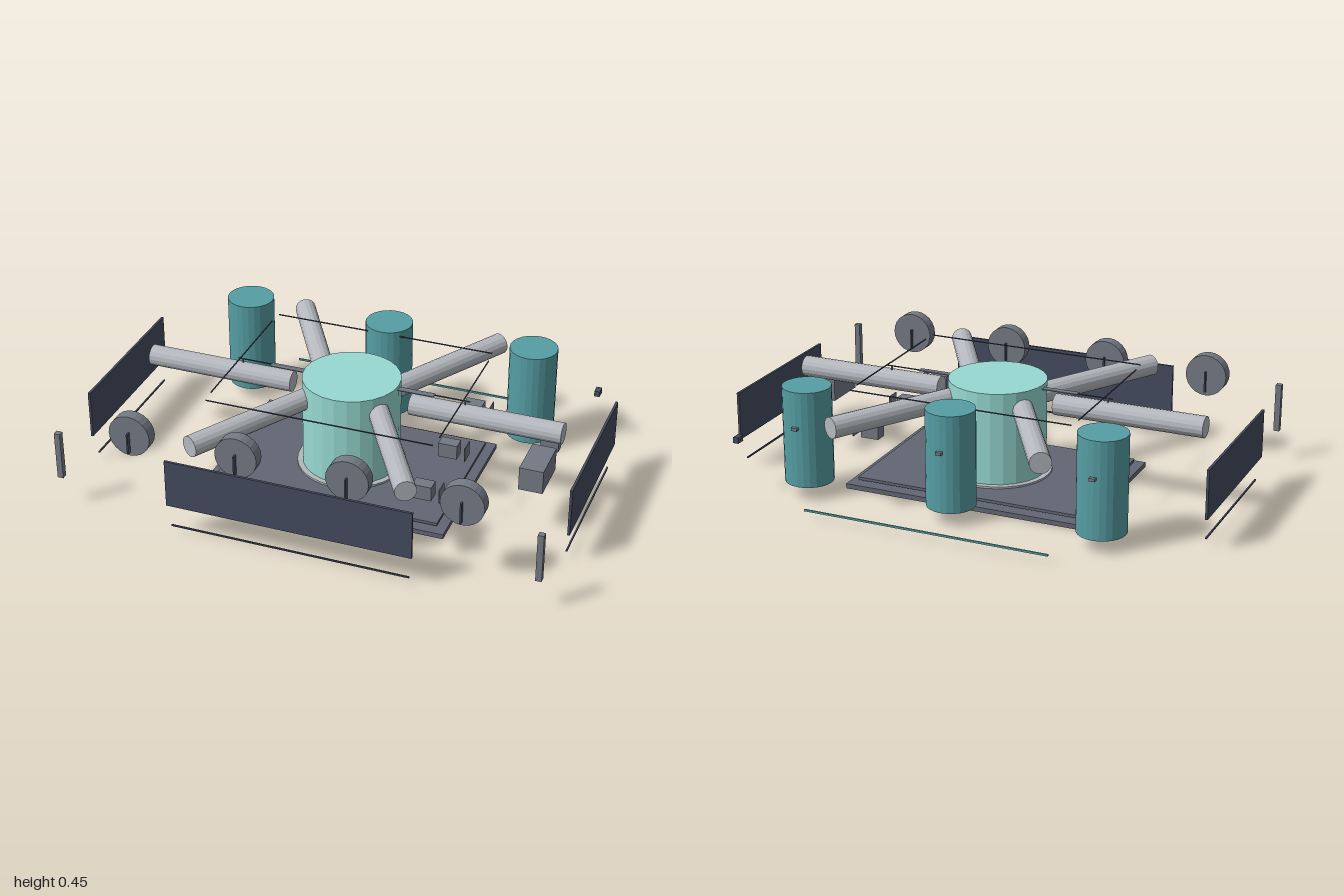
import * as THREE from 'three';

const mat = (color) => new THREE.MeshStandardMaterial({ color, flatShading: true });

export function createModel() {
  const root = new THREE.Group();
  const mint = mat(0x97d9d2), teal = mat(0x559ea4), grey = mat(0xb4b8be);
  const slate = mat(0x626673), steel = mat(0x737a84), navy = mat(0x434b5e);

  const add = (name, geo, material, x, y, z) => {
    const m = new THREE.Mesh(geo, material);
    m.name = name;
    m.position.set(x, y, z);
    root.add(m);
    return m;
  };
  // Box given by its extents on each axis
  const box = (name, material, x0, x1, y0, y1, z0, z1) =>
    add(name, new THREE.BoxGeometry(x1 - x0, y1 - y0, z1 - z0), material,
      (x0 + x1) / 2, (y0 + y1) / 2, (z0 + z1) / 2);
  // Upright cylinder given by its bottom and top
  const drum = (name, material, r, y0, y1, x, z, sides = 24) =>
    add(name, new THREE.CylinderGeometry(r, r, y1 - y0, sides), material, x, (y0 + y1) / 2, z);

  // Base and hub
  box('basePlate', slate, -0.507, 0.507, 0, 0.02, -0.35, 0.35);
  box('innerPlate', slate, -0.47, 0.47, 0.03, 0.042, -0.315, 0.315);
  drum('hubFlange', grey, 0.22, 0.035, 0.05, 0, 0, 32);
  drum('hub', mint, 0.198, 0.05, 0.43, 0, 0, 24);

  // Six spokes, set on a flattened ring
  for (let i = 0; i < 6; i++) {
    const a = (i * Math.PI) / 3;
    const spoke = add('spoke', new THREE.CylinderGeometry(0.043, 0.043, 0.62, 16), grey,
      0.56 * Math.cos(a), 0.355, 0.375 * Math.sin(a));
    spoke.quaternion.setFromUnitVectors(new THREE.Vector3(0, 1, 0),
      new THREE.Vector3(Math.cos(a), 0, Math.sin(a)));
  }

  // Rear tanks with small valves
  for (const x of [-0.62, 0, 0.62]) {
    drum('tank', teal, 0.098, 0.057, 0.452, x, -0.44);
    box('tankValve', steel, x - 0.012, x + 0.012, 0.298, 0.31, -0.553, -0.53);
  }

  // Front dials with pointers
  for (const x of [-0.683, -0.239, 0.21, 0.658]) {
    const dial = add('dial', new THREE.CylinderGeometry(0.086, 0.086, 0.05, 24), steel, x, 0.355, 0.583);
    dial.rotation.x = Math.PI / 2;
    box('dialPointer', navy, x - 0.003, x + 0.003, 0.285, 0.372, 0.545, 0.628);
  }

  // Panels and the rails beneath them
  box('frontPanel', navy, -0.5, 0.495, 0.13, 0.33, 0.678, 0.688);
  box('frontRail', navy, -0.485, 0.485, 0.036, 0.042, 0.678, 0.684);
  box('rearRail', teal, -0.507, 0.507, 0.035, 0.043, -0.69, -0.684);
  for (const s of [-1, 1]) {
    const x = s * 0.995;
    box('sidePanel', navy, x - 0.005, x + 0.005, 0.13, 0.33, -0.345, 0.338);
    box('sideRail', navy, s * 0.985 - 0.003, s * 0.985 + 0.003, 0.036, 0.042, -0.31, 0.31);
    box('cornerPost', steel, s * 0.97 - 0.012, s * 0.97 + 0.012, 0.13, 0.33, 0.634, 0.658);
    // Upper wires around the hub and clips on the side spokes
    box('longWire', navy, -0.465, 0.465, 0.428, 0.432, s * 0.372 - 0.002, s * 0.372 + 0.002);
    box('crossWire', navy, s * 0.47 - 0.002, s * 0.47 + 0.002, 0.428, 0.432, -0.31, 0.31);
    box('spokeWire', navy, s * 0.34 - 0.15, s * 0.34 + 0.15, 0.411, 0.415, -0.007, -0.003);
    box('spokeClip', steel, s * 0.27 - 0.075, s * 0.27 + 0.075, 0.411, 0.415, -0.015, 0.012);
    box('spokeClipPost', steel, s * 0.47 - 0.003, s * 0.47 + 0.003, 0.39, 0.414, -0.008, -0.002);
  }

  // Row of small blocks with end plates
  for (const z of [-0.255, 0.065, 0.377]) {
    box('block', steel, 0.395, 0.472, 0.2, 0.26, z - 0.026, z + 0.026);
    box('blockPlate', steel, 0.503, 0.507, 0.2, 0.26, z - 0.03, z + 0.03);
  }

  // Side box, its cap and a small rear latch
  box('sideBox', steel, 0.758, 0.854, 0.205, 0.302, 0.03, 0.213);
  box('sideBoxCap', steel, 0.77, 0.842, 0.235, 0.295, -0.09, -0.045);
  box('latch', navy, 0.857, 0.88, 0.217, 0.241, -0.58, -0.542);

  return root;
}
